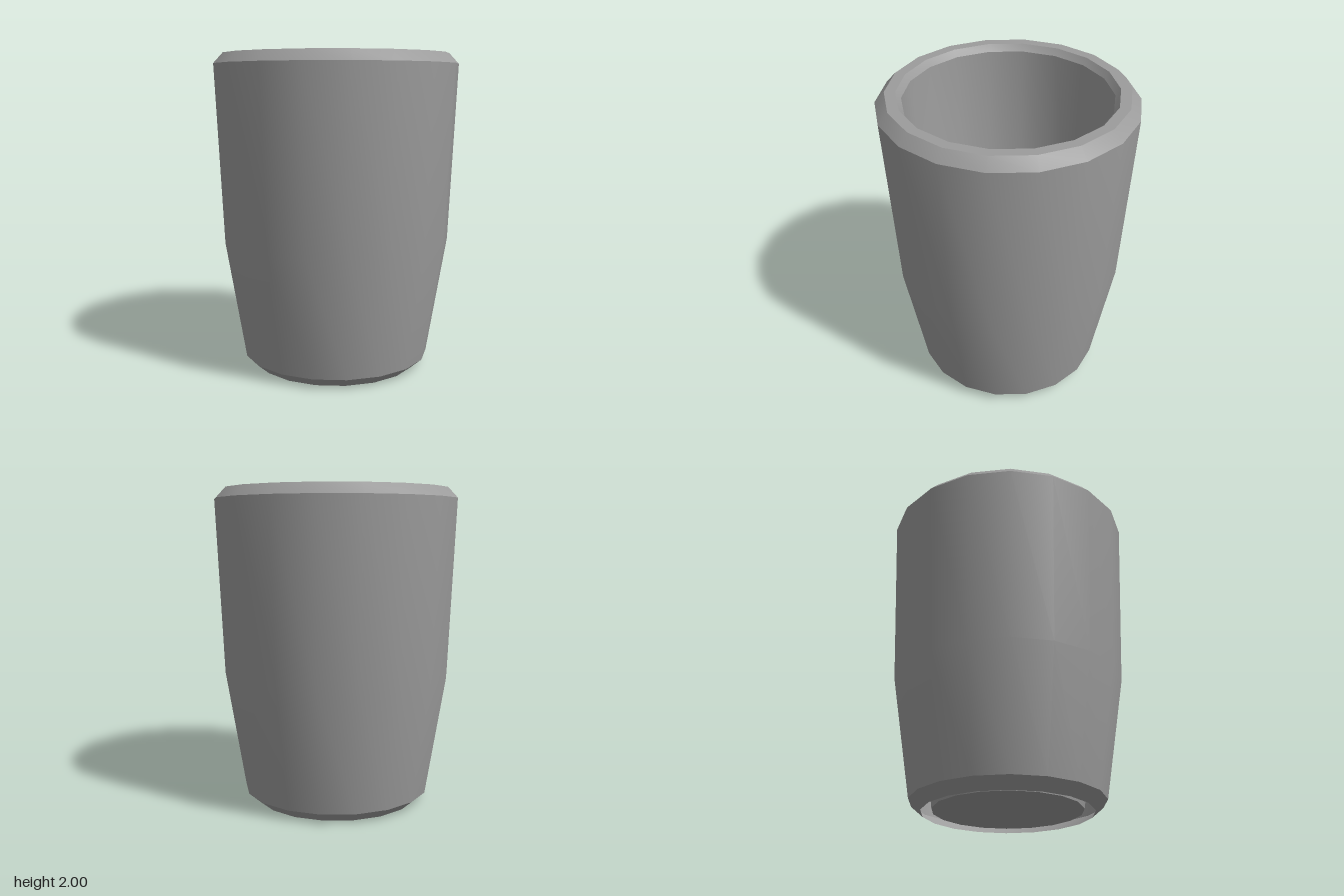
import * as THREE from 'three';
import { toCreasedNormals } from 'three/addons/utils/BufferGeometryUtils.js';

const SIDES = 18;

// Double-walled cup as one turned profile, open between the walls at the foot: [radius, height]
const PROFILE = [
  // outer wall with a chamfer at both ends
  [0.525, 0], [0.6, 0.065], [0.725, 0.82], [0.775, 1.935], [0.715, 2],
  // rim and inner lip
  [0.65, 2], [0.62, 1.96],
  // inner wall and floor
  [0.57, 0.82], [0.46, 0.015], [0, 0.015],
];

export function createModel() {
  const model = new THREE.Group();
  model.name = 'tumbler';

  const points = PROFILE.map(([r, y]) => new THREE.Vector2(r, y));
  // Smooth around the walls, sharp at the chamfers and rim
  const geometry = toCreasedNormals(
    new THREE.LatheGeometry(points, SIDES),
    THREE.MathUtils.degToRad(25),
  );
  const material = new THREE.MeshStandardMaterial({ color: 0x9c9c9c, side: THREE.DoubleSide });
  const cup = new THREE.Mesh(geometry, material);
  cup.name = 'cup';
  model.add(cup);

  return model;
}
